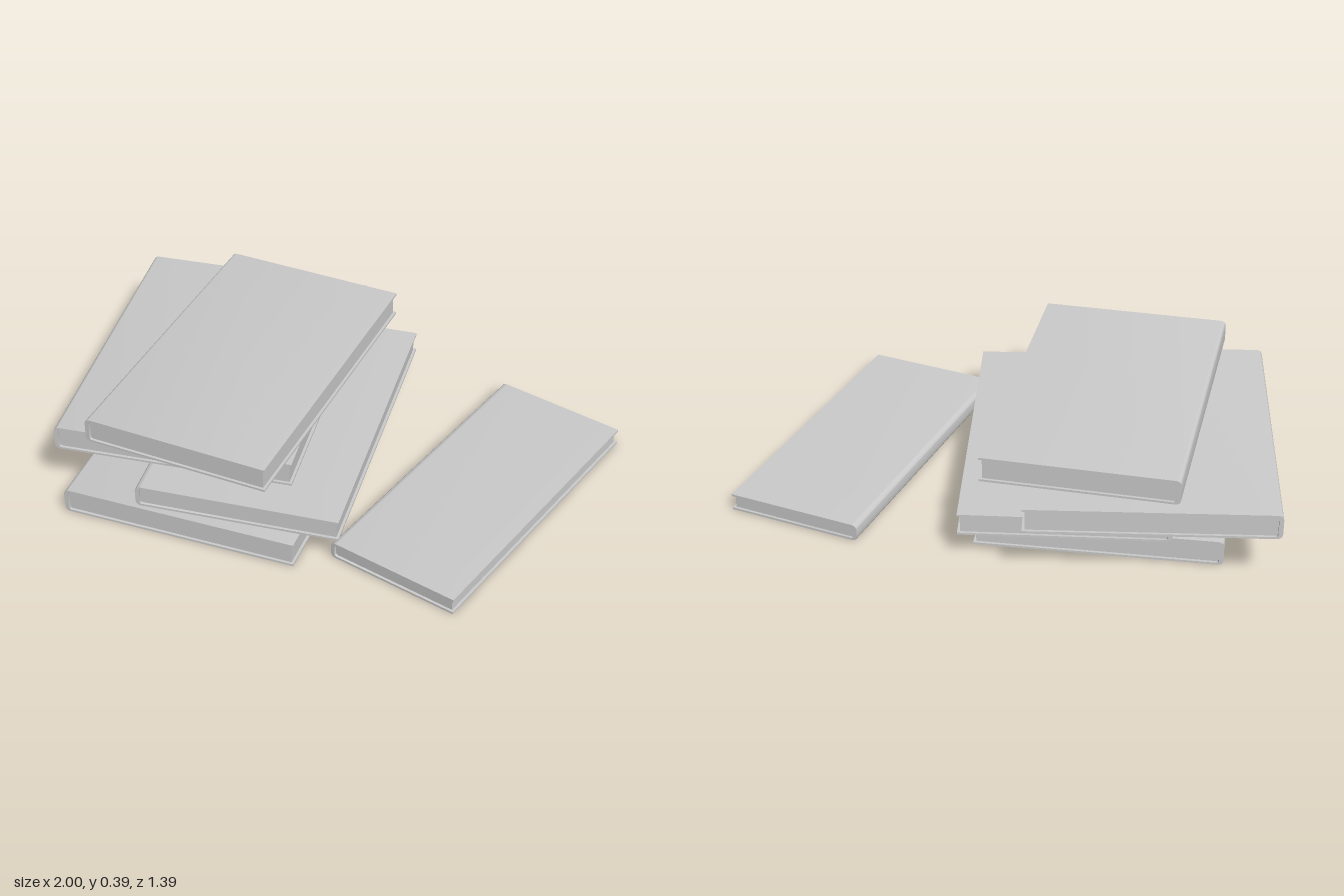
import * as THREE from 'three';
import { toCreasedNormals } from 'three/addons/utils/BufferGeometryUtils.js';

const material = new THREE.MeshStandardMaterial({ color: 0xcccccc });
const BOARD = 0.008;  // cover board thickness
const SPINE = 0.016;  // spine thickness
const LIP = 0.01;     // how far the cover overhangs the pages

// C-shaped cover section, spine rounded on the -x side
function coverShape(w, h) {
  const r = 0.022, ri = 0.01;
  const l = -w / 2, li = l + SPINE, top = h - BOARD;
  const s = new THREE.Shape();
  s.moveTo(w / 2, 0);
  s.lineTo(w / 2, BOARD);
  s.lineTo(li + ri, BOARD);
  s.quadraticCurveTo(li, BOARD, li, BOARD + ri);
  s.lineTo(li, top - ri);
  s.quadraticCurveTo(li, top, li + ri, top);
  s.lineTo(w / 2, top);
  s.lineTo(w / 2, h);
  s.lineTo(l + r, h);
  s.quadraticCurveTo(l, h, l, h - r);
  s.lineTo(l, r);
  s.quadraticCurveTo(l, 0, l + r, 0);
  s.closePath();
  return s;
}

function makeBook(name, { w, h, d, x, y, z, turn }) {
  const book = new THREE.Group();
  book.name = name;

  const coverGeo = new THREE.ExtrudeGeometry(coverShape(w, h), {
    depth: d, bevelEnabled: false, curveSegments: 6,
  });
  coverGeo.translate(0, 0, -d / 2);
  const cover = new THREE.Mesh(toCreasedNormals(coverGeo, 0.6), material);
  cover.name = 'cover';

  // page block, set back from the three open edges
  const pageW = w - SPINE - LIP;
  const pages = new THREE.Mesh(
    new THREE.BoxGeometry(pageW, h - 2 * BOARD, d - 2 * LIP), material);
  pages.name = 'pages';
  pages.position.set((SPINE - LIP) / 2, h / 2, 0);

  book.add(cover, pages);
  book.position.set(x, y, z);
  book.rotation.y = turn;
  return book;
}

export function createModel() {
  const model = new THREE.Group();
  model.name = 'bookPile';
  const books = {
    bottomBook: { w: 0.89, h: 0.096, d: 1.165, x: -0.357, y: 0, z: 0.07, turn: 0 },
    secondBook: { w: 0.753, h: 0.083, d: 1.184, x: -0.196, y: 0.098, z: 0.018, turn: 0.085 },
    thirdBook: { w: 0.89, h: 0.095, d: 1.165, x: -0.495, y: 0.194, z: -0.075, turn: 0.106 },
    topBook: { w: 0.708, h: 0.095, d: 1.184, x: -0.335, y: 0.293, z: 0.016, turn: -0.069 },
    looseBook: { w: 0.514, h: 0.065, d: 1.154, x: 0.595, y: 0, z: 0.067, turn: -0.27 },
  };
  for (const [name, spec] of Object.entries(books)) model.add(makeBook(name, spec));
  return model;
}
